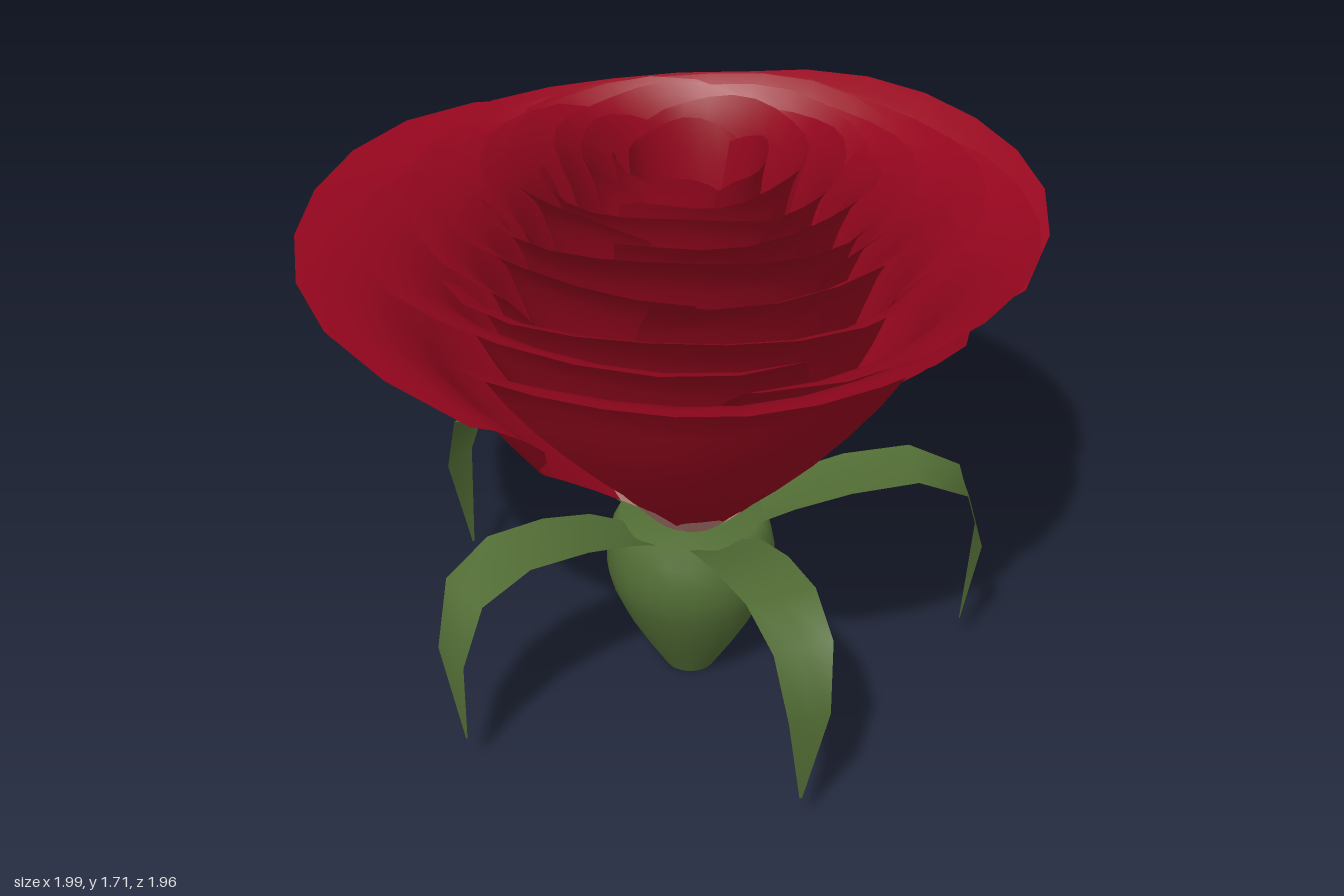
import * as THREE from 'three';

const flat = (name, color) => {
  const m = new THREE.MeshStandardMaterial({ color, side: THREE.DoubleSide });
  m.name = name;
  return m;
};

// Grid surface: point(u, t) with u in -1..1 and t in 0..1; the first rows use the first material
function gridSurface(cols, rows, point, firstRows = 0) {
  const pos = [], idx = [];
  for (let j = 0; j <= rows; j++)
    for (let i = 0; i <= cols; i++) pos.push(...point((i / cols) * 2 - 1, j / rows));
  for (let j = 0; j < rows; j++)
    for (let i = 0; i < cols; i++) {
      const a = j * (cols + 1) + i, b = a + cols + 1;
      idx.push(a, b, a + 1, a + 1, b, b + 1);
    }
  const g = new THREE.BufferGeometry();
  g.setAttribute('position', new THREE.Float32BufferAttribute(pos, 3));
  g.setIndex(idx);
  g.computeVertexNormals();
  const split = firstRows * cols * 6;
  g.addGroup(0, split, 0);
  g.addGroup(split, idx.length - split, 1);
  return g;
}

// Petal side profile: fraction of radius, fraction of height
const petalProfile = new THREE.SplineCurve([
  [0, 0], [0.13, 0.12], [0.38, 0.37], [0.57, 0.61], [0.69, 0.8], [0.83, 0.93], [1, 1],
].map(([r, y]) => new THREE.Vector2(r, y)));

const BASE_R = 0.11, BASE_Y = 0.53;

// One petal: narrow root, rounded upper corners; droop lowers its two side edges
function petalGeometry({ turn, rimR, rimY, half, seed, root = 0.4, round = 0.11, droop = [0, 0] }) {
  const angle = THREE.MathUtils.degToRad(turn), halfWidth = THREE.MathUtils.degToRad(half);
  return gridSurface(10, 12, (u, t) => {
    const s = t * (1 - round * Math.abs(u) ** 3);
    const p = petalProfile.getPoint(s);
    const widen = root + (1 - root) * THREE.MathUtils.smoothstep(s, 0, 0.65);
    const corner = 1 - 0.1 * THREE.MathUtils.smoothstep(t, 0.7, 1);
    const a = angle + u * halfWidth * widen * corner;
    const wave = 0.012 * Math.sin(u * 5 + seed * 2.3) * s * s;
    const sag = droop[u < 0 ? 0 : 1] * Math.abs(u) ** 2.5 * s;
    const r = BASE_R + (rimR - BASE_R) * p.x + 0.02 * u * s;
    const y = BASE_Y + (rimY - BASE_Y) * p.y + wave - sag;
    return [r * Math.cos(a), y, r * Math.sin(a)];
  }, 2);
}

// Sepal stations: distance from the axis, height, half width
const sepalStations = [
  [0.16, 0.5, 0.075], [0.29, 0.575, 0.1], [0.45, 0.63, 0.105], [0.64, 0.66, 0.1],
  [0.79, 0.6, 0.085], [0.845, 0.41, 0.06], [0.81, 0.11, 0.004],
];

function sepalGeometry() {
  const last = sepalStations.length - 1;
  return gridSurface(2, last, (u, t) => {
    const [d, y, w] = sepalStations[Math.round(t * last)];
    const fold = 0.02 * Math.abs(u) * (1 - t); // shallow keel along the middle
    return [d, y + fold, u * w];
  });
}

export function createModel() {
  const red = flat('petal red', 0x96061e);
  const pale = flat('petal base pink', 0xbd827b);
  const green = flat('hip and sepal green', 0x526d35);

  const model = new THREE.Group();
  model.name = 'rose';
  const flower = new THREE.Group();
  flower.name = 'flower';
  flower.position.set(0.07, 0, 0);
  model.add(flower);

  const add = (name, geometry, material) => {
    const m = new THREE.Mesh(geometry, material);
    m.name = name;
    flower.add(m);
    return m;
  };

  // Hip with a flat cut underneath
  const hip = [[0.075, 0], [0.135, 0.1], [0.19, 0.2], [0.228, 0.29], [0.246, 0.36],
    [0.243, 0.42], [0.232, 0.48], [0.205, 0.535], [0, 0.545]];
  add('hip', new THREE.LatheGeometry(hip.map(([r, y]) => new THREE.Vector2(r, y)), 24), green);
  add('hipCut', new THREE.CircleGeometry(0.075, 24), green).rotation.x = Math.PI / 2;

  // Five drooping sepals
  const sepal = sepalGeometry();
  for (let i = 0; i < 5; i++)
    add('sepal', sepal, green).rotation.y = Math.PI / 2 + (i * Math.PI * 2) / 5;

  // Three large outer petals, with loose hanging side edges
  [
    { turn: 178, rimR: 1.07, rimY: 1.44, half: 73, droop: [0.14, 0] },
    { turn: -62, rimR: 1.01, rimY: 1.5, half: 62, droop: [0.02, 0.14] },
    { turn: 68, rimR: 0.97, rimY: 1.47, half: 56, droop: [0.03, 0.03] },
  ].forEach((p, seed) =>
    add('outerPetal', petalGeometry({ ...p, seed, root: 0.25, round: 0.15 }), [pale, red]));

  // Inner layers of three petals: rim radius, rim height, turn in degrees
  const layers = [
    [0.9, 1.505, 0], [0.78, 1.555, 70], [0.68, 1.605, 20], [0.59, 1.635, 85],
    [0.5, 1.66, 35], [0.4, 1.675, 100], [0.3, 1.685, 50], [0.2, 1.68, 115],
  ];
  layers.forEach(([rimR, rimY, turn], k) => {
    for (let i = 0; i < 3; i++) {
      const seed = k * 3 + i;
      add('innerPetal', petalGeometry({
        turn: turn + i * 120,
        rimR: rimR * (1 + 0.025 * Math.cos(seed * 2.1)),
        rimY: rimY + 0.015 * Math.sin(seed * 1.7 - 1),
        half: 72,
        seed,
      }), [pale, red]);
    }
  });

  return model;
}
